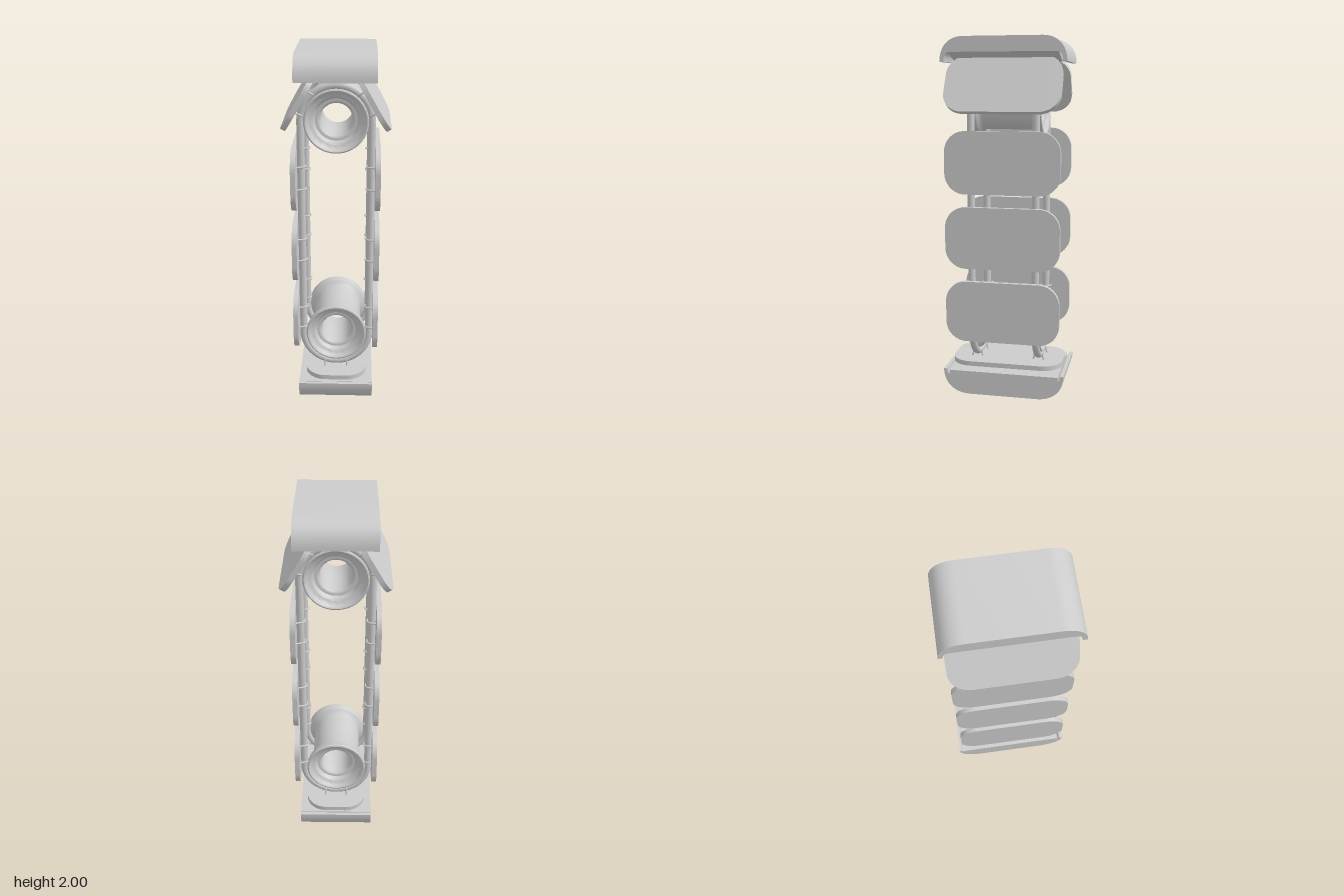
import * as THREE from 'three';
import { toCreasedNormals } from 'three/addons/utils/BufferGeometryUtils.js';

const TOP = 1.637, BOTTOM = 0.389; // pulley axle heights
const BELT_R = 0.187, BELT_Z = 0.18;
const material = new THREE.MeshStandardMaterial({ color: 0xcccccc, side: THREE.DoubleSide });

function add(parent, name, geometry) {
  const mesh = new THREE.Mesh(geometry, material);
  mesh.name = name;
  parent.add(mesh);
  return mesh;
}

// Extrudes a (z, y) outline along x, from x0 over the given depth
function extrudeAlongX(shape, x0, depth) {
  const g = new THREE.ExtrudeGeometry(shape, { depth, bevelEnabled: false, curveSegments: 12 });
  g.rotateY(Math.PI / 2).translate(x0, 0, 0);
  return toCreasedNormals(g, 0.6);
}

function roundedRect(w, h, r) {
  const s = new THREE.Shape();
  s.moveTo(w - r, -h);
  s.absarc(w - r, -h + r, r, -Math.PI / 2, 0);
  s.absarc(w - r, h - r, r, 0, Math.PI / 2);
  s.absarc(-w + r, h - r, r, Math.PI / 2, Math.PI);
  s.absarc(-w + r, -h + r, r, Math.PI, Math.PI * 1.5);
  return s;
}

// Hollow drum with raised rims and a stepped, dished end
function pulleyGeometry() {
  const half = [
    [0.137, 0], [0.137, 0.135], [0.142, 0.148], [0.16, 0.156], [0.167, 0.165], [0.167, 0.185],
    [0.172, 0.193], [0.17, 0.201], [0.163, 0.204], [0.155, 0.2], [0.15, 0.188], [0.142, 0.18],
    [0.13, 0.178], [0.122, 0.172], [0.118, 0.16], [0.112, 0.153], [0.1, 0.153],
    [0.091, 0.149], [0.086, 0.138], [0.086, 0],
  ];
  const lower = half.slice(1, -1).reverse().map(([r, y]) => [r, -y]);
  const points = [...half, ...lower, half[0]].map(([r, y]) => new THREE.Vector2(r, y));
  return toCreasedNormals(new THREE.LatheGeometry(points, 48).rotateX(Math.PI / 2), 0.8);
}

// Belt path: two straight runs joined by half circles
function beltGeometry() {
  const path = new THREE.CurvePath();
  const arc = (cy, start) => {
    const pts = [];
    for (let i = 0; i <= 24; i++) {
      const a = start + Math.PI * i / 24;
      pts.push(new THREE.Vector3(BELT_R * Math.cos(a), cy + BELT_R * Math.sin(a), 0));
    }
    return new THREE.CatmullRomCurve3(pts);
  };
  const at = (x, y) => new THREE.Vector3(x, y, 0);
  path.add(arc(TOP, 0));
  path.add(new THREE.LineCurve3(at(-BELT_R, TOP), at(-BELT_R, BOTTOM)));
  path.add(arc(BOTTOM, Math.PI));
  path.add(new THREE.LineCurve3(at(BELT_R, BOTTOM), at(BELT_R, TOP)));
  return new THREE.TubeGeometry(path, 200, 0.021, 14, true);
}

// Wire clip hooked round the belt, its legs splaying to the slat
function clipGeometry() {
  const pts = [[0.214, -0.034], [0.2, -0.028]];
  for (let i = 0; i <= 6; i++) {
    const a = -Math.PI / 2 + Math.PI * i / 6;
    pts.push([BELT_R - 0.025 * Math.cos(a), 0.025 * Math.sin(a)]);
  }
  pts.push([0.2, 0.028], [0.214, 0.034]);
  const curve = new THREE.CatmullRomCurve3(pts.map(([x, z]) => new THREE.Vector3(x, 0, z)));
  return new THREE.TubeGeometry(curve, 28, 0.005, 8, false);
}

// Roof cover: rounded shoulders with hanging lips
function topCapShape() {
  const s = new THREE.Shape();
  s.moveTo(-0.345, 1.866);
  s.bezierCurveTo(-0.345, 1.94, -0.3, 2, -0.215, 2);
  s.lineTo(0.215, 2);
  s.bezierCurveTo(0.3, 2, 0.345, 1.94, 0.345, 1.866);
  s.lineTo(0.322, 1.866);
  s.quadraticCurveTo(0.322, 1.918, 0.285, 1.918);
  s.lineTo(-0.285, 1.918);
  s.quadraticCurveTo(-0.322, 1.918, -0.322, 1.866);
  s.closePath();
  return s;
}

// Floor tray: rounded underside with a small groove inside each lip
function bottomCapShape() {
  const s = new THREE.Shape();
  s.moveTo(0.345, 0.142);
  s.bezierCurveTo(0.345, 0.06, 0.29, 0.003, 0.2, 0);
  s.lineTo(-0.2, 0);
  s.bezierCurveTo(-0.29, 0.003, -0.345, 0.06, -0.345, 0.142);
  s.lineTo(-0.325, 0.142);
  s.quadraticCurveTo(-0.325, 0.115, -0.312, 0.112);
  s.lineTo(-0.312, 0.135);
  s.lineTo(0.312, 0.135);
  s.lineTo(0.312, 0.112);
  s.quadraticCurveTo(0.325, 0.115, 0.325, 0.142);
  s.closePath();
  return s;
}

export function createModel() {
  const model = new THREE.Group();
  model.name = 'slatConveyor';

  // Pulleys
  const pulley = pulleyGeometry();
  add(model, 'topPulley', pulley).position.y = TOP;
  add(model, 'bottomPulley', pulley).position.y = BOTTOM;

  // Front and back belts
  const belt = beltGeometry();
  add(model, 'frontBelt', belt).position.z = BELT_Z;
  add(model, 'backBelt', belt).position.z = -BELT_Z;

  // Slats, each held by four clips
  const slat = extrudeAlongX(roundedRect(0.319, 0.172, 0.115), 0.208, 0.027);
  const clip = clipGeometry();
  const addSlat = (y, angle) => {
    const group = new THREE.Group();
    group.name = 'slatWithClips';
    group.position.y = y;
    group.rotation.z = angle;
    add(group, 'slat', slat);
    for (const dy of [-0.063, 0.063])
      for (const z of [-BELT_Z, BELT_Z]) add(group, 'clip', clip).position.set(0, dy, z);
    model.add(group);
  };
  for (const y of [0.495, 0.913, 1.328]) {
    addSlat(y, 0);
    addSlat(y, Math.PI);
  }
  addSlat(TOP, Math.PI / 6);
  addSlat(TOP, Math.PI * 5 / 6);
  addSlat(BOTTOM, -Math.PI / 2);

  // Covers above and below
  add(model, 'topCover', extrudeAlongX(topCapShape(), -0.209, 0.418));
  add(model, 'bottomCover', extrudeAlongX(bottomCapShape(), -0.209, 0.418));

  // Shallow curved belly under the top cover
  const belly = new THREE.Shape();
  belly.moveTo(-0.2, 1.92);
  belly.quadraticCurveTo(0, 1.82, 0.2, 1.92);
  belly.closePath();
  const bellyGeometry = new THREE.ExtrudeGeometry(belly, { depth: 0.6, bevelEnabled: false, curveSegments: 16 });
  add(model, 'topCoverBelly', toCreasedNormals(bellyGeometry.translate(0, 0, -0.3), 0.6));

  return model;
}
